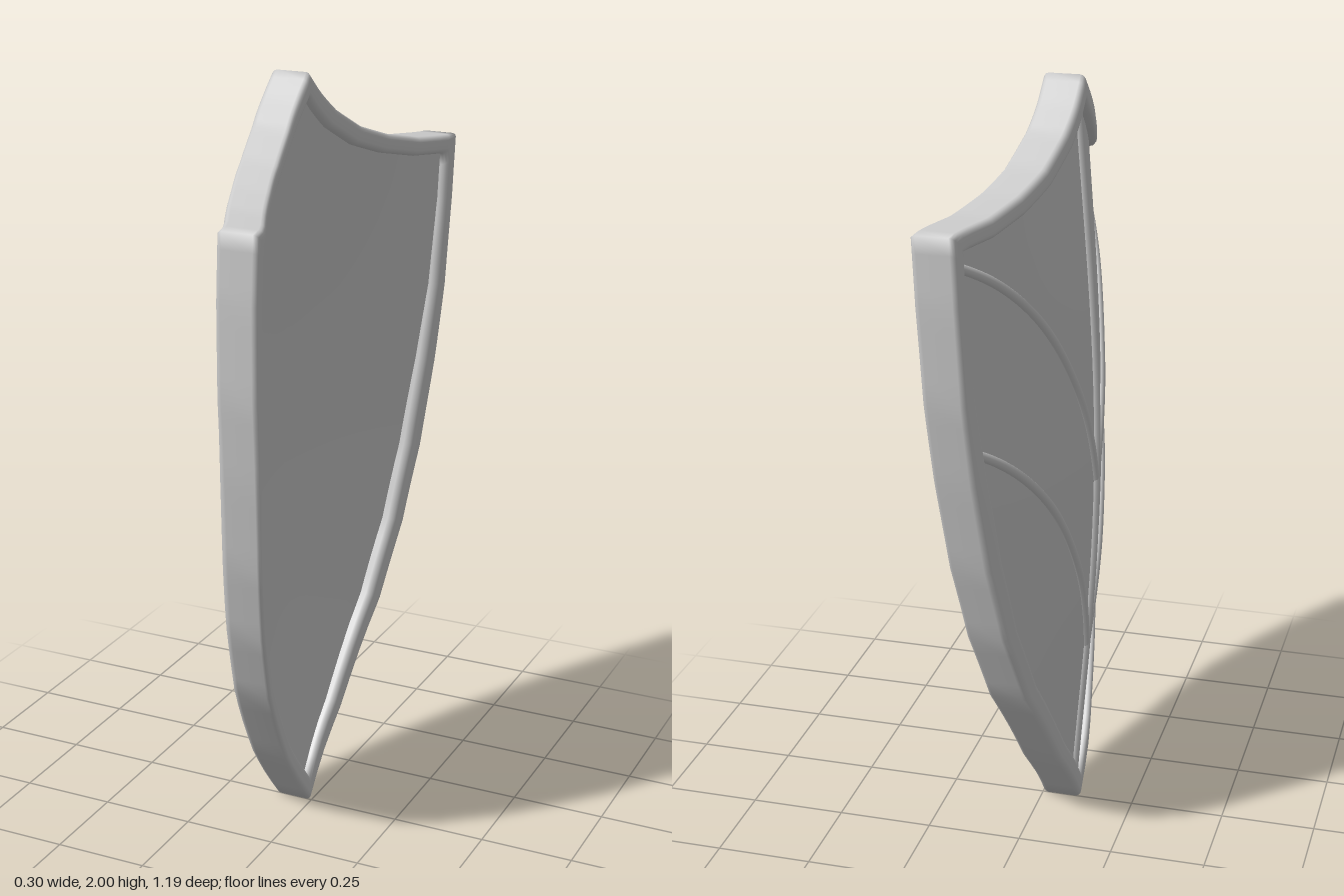
import * as THREE from 'three';

// Half outline as [z, y]: top tip to shoulder, then down the side to the bottom tip
const TOP = [[0, 2], [0.07, 1.94], [0.14, 1.885], [0.245, 1.825], [0.35, 1.787], [0.456, 1.762], [0.595, 1.75]];
const SIDE = [[0.594, 1.58], [0.578, 1.34], [0.546, 1.13], [0.5, 0.89], [0.44, 0.68], [0.35, 0.475], [0.175, 0.21], [0, 0]];
const HALF = [...TOP, ...SIDE];
const OUTLINE = [...HALF, ...HALF.slice(1, -1).reverse().map(([z, y]) => [-z, y])];

const RIM_WIDTH = 0.05, RIM_DEPTH = 0.107;

// Curvature across the width, and the gentle bulge along the height
const ACROSS = [[0, 0], [0.07, 0.004], [0.14, 0.016], [0.28, 0.05], [0.43, 0.104], [0.55, 0.156], [0.62, 0.163]];
const acrossCurve = new THREE.SplineCurve(ACROSS.map(([z, x]) => new THREE.Vector2(z, x)));
const acrossPoints = acrossCurve.getPoints(120);

function lerpTable(points, z) {
  const a = Math.abs(z);
  for (let i = 1; i < points.length; i++) {
    const p = points[i - 1], q = points[i];
    if (a <= q.x) return p.y + (q.y - p.y) * (a - p.x) / (q.x - p.x);
  }
  return points[points.length - 1].y;
}
const bulge = y => Math.sin(Math.PI * THREE.MathUtils.clamp(y / 2, 0, 1));
const baseX = (z, y) => lerpTable(acrossPoints, z) - 0.03 * bulge(y);
const panelX = (z, y) => baseX(z, y) - 0.08 - 0.029 * bulge(y) ** 1.5 * Math.max(0, 1 - (z / 0.55) ** 2);

// Inward mitre vector at each outline corner
function mitres(loop) {
  const n = loop.length;
  const normal = (p, q) => new THREE.Vector2(q[1] - p[1], p[0] - q[0]).normalize();
  return loop.map((p, i) => {
    const a = normal(loop[(i + n - 1) % n], p), b = normal(p, loop[(i + 1) % n]);
    return a.clone().add(b).divideScalar(1 + a.dot(b));
  });
}
const MITRES = mitres(OUTLINE);

function makeGeometry(positions, index) {
  const g = new THREE.BufferGeometry();
  g.setAttribute('position', new THREE.Float32BufferAttribute(positions, 3));
  g.setIndex(index);
  g.computeVertexNormals();
  return g;
}

// Rim: rounded rectangular section swept round the outline
function rimGeometry() {
  const r = 0.014, section = [];
  const corners = [[RIM_WIDTH - r, -r, 0], [r, -r, 1], [r, r - RIM_DEPTH, 2], [RIM_WIDTH - r, r - RIM_DEPTH, 3]];
  for (const [u, w, quarter] of corners) {
    for (let k = 0; k <= 3; k++) {
      const a = (quarter + k / 3) * Math.PI / 2;
      section.push([u + r * Math.cos(a), w + r * Math.sin(a)]);
    }
  }
  const STEPS = 4, n = OUTLINE.length, m = section.length, total = n * STEPS;
  const positions = [], index = [];
  for (let i = 0; i < total; i++) {
    const k = Math.floor(i / STEPS), next = (k + 1) % n, t = (i % STEPS) / STEPS;
    for (const [u, w] of section) {
      const z0 = OUTLINE[k][0] + MITRES[k].x * u, y0 = OUTLINE[k][1] + MITRES[k].y * u;
      const z1 = OUTLINE[next][0] + MITRES[next].x * u, y1 = OUTLINE[next][1] + MITRES[next].y * u;
      const z = z0 + (z1 - z0) * t, y = y0 + (y1 - y0) * t;
      positions.push(baseX(z, y) + w, y, z);
    }
    for (let j = 0; j < m; j++) {
      const a = i * m + j, b = i * m + (j + 1) % m;
      const c = ((i + 1) % total) * m + j, d = ((i + 1) % total) * m + (j + 1) % m;
      index.push(a, b, c, b, d, c);
    }
  }
  return makeGeometry(positions, index);
}

// Panel: curved sheet filling the rim, its edges tucked inside it
function panelGeometry(offset, flip) {
  const inset = HALF.map(([z, y], i) => new THREE.Vector2(z + MITRES[i].x * 0.035, y + MITRES[i].y * 0.035));
  const top = inset.slice(0, TOP.length), side = inset.slice(TOP.length - 1).reverse();
  const shoulder = top[top.length - 1];
  const ROWS = 4, COLS = 48, positions = [], index = [];
  const rows = [side[0]];
  for (let i = 1; i < side.length; i++) {
    for (let k = 1; k <= ROWS; k++) rows.push(side[i - 1].clone().lerp(side[i], k / ROWS));
  }
  rows.forEach((p, i) => {
    const s = (p.y - side[0].y) / (shoulder.y - side[0].y);
    for (let j = 0; j <= COLS; j++) {
      const t = j / COLS * 2 - 1;
      const z = t * p.x, y = p.y + (lerpTable(top, t * shoulder.x) - shoulder.y) * s;
      positions.push(panelX(z, y) + offset, y, z);
      if (i < rows.length - 1 && j < COLS) {
        const a = i * (COLS + 1) + j, c = a + COLS + 1;
        if (flip) index.push(a, c, a + 1, a + 1, c, c + 1);
        else index.push(a, a + 1, c, a + 1, c + 1, c);
      }
    }
  });
  return makeGeometry(positions, index);
}

// Rib: thin tube laid on the outer face along a [z, y] curve
function ribGeometry(curve, radius) {
  const points = curve.getPoints(24).map(p => new THREE.Vector3(panelX(p.x, p.y), p.y, p.x));
  return new THREE.TubeGeometry(new THREE.CatmullRomCurve3(points), 48, radius, 10);
}

export function createModel() {
  const group = new THREE.Group();
  group.name = 'shield';
  const material = new THREE.MeshStandardMaterial({ color: 0xcccccc });
  const add = (name, geometry) => {
    const mesh = new THREE.Mesh(geometry, material);
    mesh.name = name;
    group.add(mesh);
  };

  // The inner face sits just below the rim
  add('rim', rimGeometry());
  add('outerPanel', panelGeometry(0, false));
  add('innerPanel', panelGeometry(0.062, true));

  // Central spine and two pairs of sweeping ribs
  const v = (z, y) => new THREE.Vector2(z, y);
  add('spineRib', ribGeometry(new THREE.LineCurve(v(0, 0.05), v(0, 1.96)), 0.013));
  for (const side of [1, -1]) {
    const name = side > 0 ? 'Front' : 'Back';
    add('upperRib' + name, ribGeometry(new THREE.QuadraticBezierCurve(v(side * 0.55, 1.67), v(side * 0.19, 1.5), v(0, 0.95)), 0.012));
    add('lowerRib' + name, ribGeometry(new THREE.QuadraticBezierCurve(v(side * 0.525, 1.21), v(side * 0.18, 1.01), v(0, 0.47)), 0.012));
  }
  return group;
}
